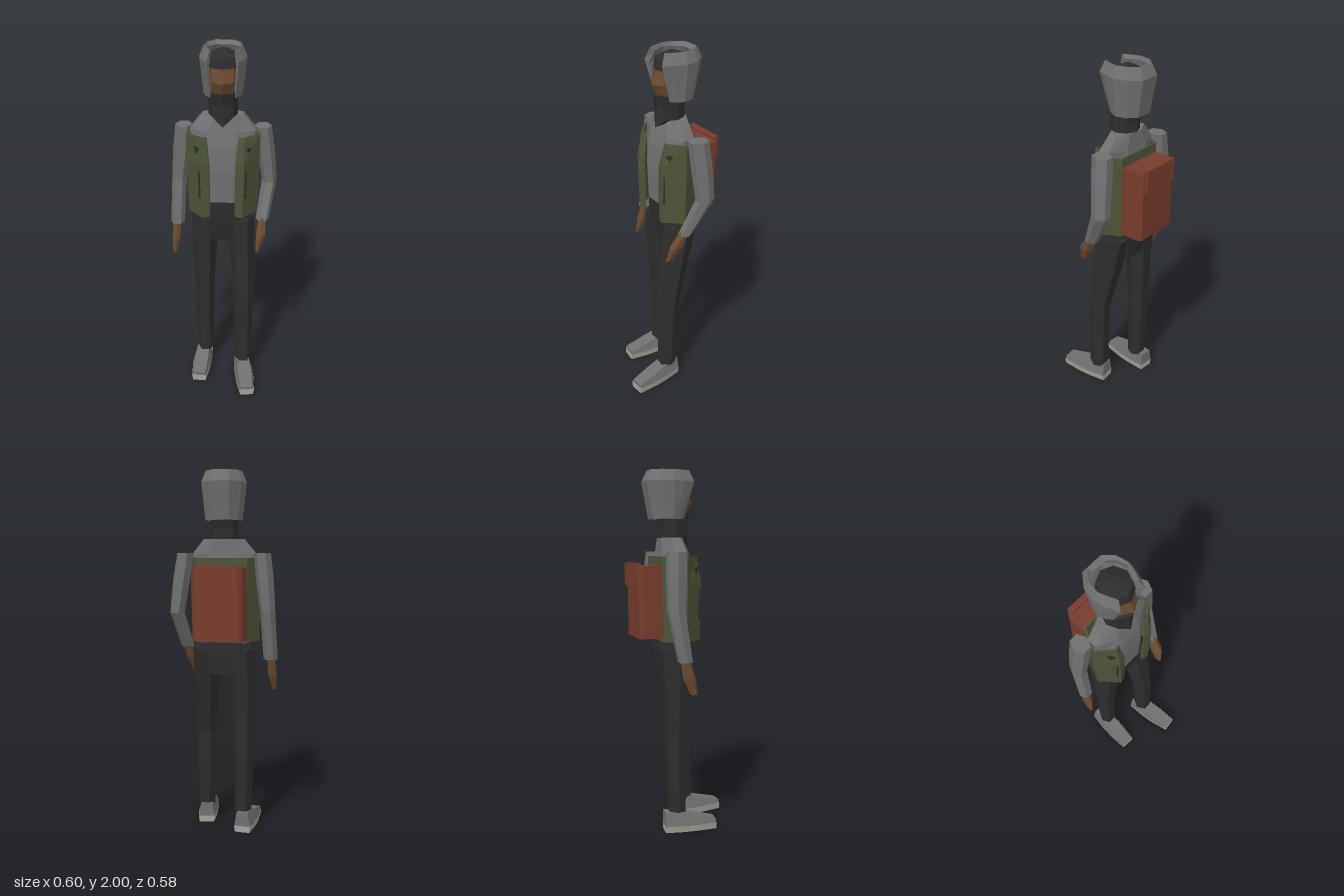
import * as THREE from 'three';

const mat = (name, color) => Object.assign(new THREE.MeshStandardMaterial({ color }), { name });
const grey = mat('grey cloth', 0x707070);
const dark = mat('dark cloth', 0x2d2d2d);
const green = mat('olive vest', 0x4c5438);
const skin = mat('skin', 0x6a4a30);
const red = mat('rust pack', 0x783c2d);
const sole = mat('pale sole', 0xa8a296);

// Flat-faced solid through matching cross-sections, capped at both ends, always facing outward
function loft(sections) {
  const tris = [];
  const n = sections[0].length;
  for (let s = 0; s + 1 < sections.length; s++) {
    const a = sections[s], b = sections[s + 1];
    for (let i = 0; i < n; i++) {
      const j = (i + 1) % n;
      tris.push([a[i], a[j], b[j]], [a[i], b[j], b[i]]);
    }
  }
  const first = sections[0], last = sections[sections.length - 1];
  for (let i = 1; i + 1 < n; i++) {
    tris.push([first[0], first[i + 1], first[i]], [last[0], last[i], last[i + 1]]);
  }
  let volume = 0;
  for (const [a, b, c] of tris) {
    volume += a[0] * (b[1] * c[2] - b[2] * c[1]) + a[1] * (b[2] * c[0] - b[0] * c[2])
      + a[2] * (b[0] * c[1] - b[1] * c[0]);
  }
  const flat = tris.flatMap(([a, b, c]) => (volume < 0 ? [a, c, b] : [a, b, c])).flat();
  const geo = new THREE.BufferGeometry();
  geo.setAttribute('position', new THREE.Float32BufferAttribute(flat, 3));
  geo.computeVertexNormals();
  return geo;
}

// Horizontal ring; flatFront puts a face rather than a corner at the front
function ring([x, y, z, rx, rz], n = 6, flatFront = false) {
  const k = flatFront ? 1 / Math.cos(Math.PI / n) : 1;
  return Array.from({ length: n }, (_, i) => {
    const a = ((i + (flatFront ? 0.5 : 0)) * 2 * Math.PI) / n;
    return [x + rx * k * Math.sin(a), y, z + rz * k * Math.cos(a)];
  });
}

const rings = (list, n, flatFront) => loft(list.map((r) => ring(r, n, flatFront)));

// Full left-to-right plan path from its left half
const mirrorPath = (half) => [...half, ...half.map(([x, z]) => [-x, z]).reverse()];

export function createModel() {
  const model = new THREE.Group();
  model.name = 'hooded traveller';
  const add = (name, geo, material, parent = model) => {
    const mesh = new THREE.Mesh(geo, material);
    mesh.name = name;
    parent.add(mesh);
    return mesh;
  };

  // Torso
  add('shirt', rings([
    [0, 1.16, -0.04, 0.14, 0.09], [0, 1.35, -0.04, 0.155, 0.095], [0, 1.48, -0.045, 0.165, 0.09],
    [0, 1.56, -0.05, 0.175, 0.075], [0, 1.64, -0.06, 0.11, 0.06],
  ], 8, true), grey);
  add('waist', rings([
    [0, 1.01, -0.055, 0.165, 0.085], [0, 1.08, -0.05, 0.155, 0.09], [0, 1.16, -0.04, 0.14, 0.09],
  ], 8, true), dark);
  add('crotch', rings([
    [0, 0.9, -0.06, 0.065, 0.065], [0, 1.03, -0.055, 0.085, 0.088],
  ], 4, true), dark);

  // Open vest, swept round the body from one front edge to the other
  const vestPath = mirrorPath([[0.075, 0.075], [0.115, 0.085], [0.2, -0.02], [0.14, -0.145]]);
  add('vest', loft(vestPath.map(([x, z]) => {
    const front = z > 0 ? 1 : 0;
    const at = (y, inset, back) => {
      const k = 1 - inset;
      const edge = Math.abs(x) < 0.1 && y > 1.5 ? 1.22 : 1;
      return [x * k * edge, y, -0.04 + (z + 0.04) * k - back * front];
    };
    return [at(1.4, 0, 0), at(1.54, 0, 0.028), at(1.54, 0.07, 0.028),
      at(1.4, 0.07, 0), at(1.08, 0.12, 0), at(1.08, 0.05, 0)];
  })), green);
  for (const side of [1, -1]) {
    const tab = add('vest tab', new THREE.CylinderGeometry(0.024, 0.024, 0.008, 3).rotateX(Math.PI / 2), dark);
    tab.position.set(side * 0.14, 1.47, 0.046);
    tab.rotation.y = side * 0.92;
    const slit = add('vest slit', new THREE.BoxGeometry(0.01, 0.16, 0.008), dark);
    slit.position.set(side * 0.124, 1.28, 0.07);
    slit.rotation.y = side * 0.92;
  }

  // Head, neck cover and cap
  add('face', rings([
    [0, 1.74, -0.05, 0.065, 0.07], [0, 1.79, -0.05, 0.074, 0.095], [0, 1.83, -0.05, 0.08, 0.116],
    [0, 1.87, -0.05, 0.082, 0.098], [0, 1.92, -0.055, 0.08, 0.09],
  ], 8), skin);
  const neck = [
    [0, 1.64, -0.045, 0.078, 0.08], [0, 1.7, -0.045, 0.078, 0.08], [0, 1.77, -0.045, 0.08, 0.1],
  ].map((r) => ring(r, 8));
  neck[0][0] = [0, 1.595, 0.046];
  add('neck cover', loft(neck), dark);
  add('cap', rings([
    [0, 1.9, -0.055, 0.088, 0.097], [0, 1.955, -0.058, 0.083, 0.088], [0, 1.985, -0.06, 0.02, 0.02],
  ], 8), dark);

  // Hood, open at the face and the crown
  const hoodPath = mirrorPath([[0.08, 0.055], [0.105, 0.0], [0.125, -0.07], [0.108, -0.145], [0.055, -0.205]]);
  add('hood', loft(hoodPath.map(([x, z]) => {
    const at = (y, kx, kz) => [x * kx, y, -0.07 + (z + 0.07) * kz];
    const low = z > -0.07 ? 0.55 : 0.74;
    return [at(1.94, 1, 1), at(2.0, 0.8, 0.8), at(1.98, 0.73, 0.62),
      at(1.92, 0.85, 0.85), at(1.74, 0.72, low - 0.06), at(1.74, 0.83, low)];
  })), grey);

  // Backpack with bevelled rear edges
  const pack = new THREE.Group();
  pack.name = 'backpack';
  model.add(pack);
  const packPlan = mirrorPath([[0.137, -0.14], [0.137, -0.252], [0.12, -0.272]]);
  add('pack body', loft([[1.1, 0.985], [1.49, 1]].map(([y, k]) =>
    packPlan.map(([x, z]) => [x, y, z * k]))), red, pack);
  add('pack flap', new THREE.BoxGeometry(0.222, 0.125, 0.035), red, pack).position.set(0, 1.442, -0.272);

  // Arms and hands, posed differently on each side
  const arms = {
    left: {
      sleeve: [[0.215, 1.565, -0.08, 0.04, 0.052], [0.235, 1.42, -0.09, 0.042, 0.052],
        [0.258, 1.24, -0.1, 0.036, 0.048], [0.222, 1.04, 0.0, 0.032, 0.034]],
      hand: [[0.222, 1.06, 0.0, 0.024, 0.027], [0.213, 0.97, 0.05, 0.028, 0.045],
        [0.197, 0.885, 0.085, 0.012, 0.025]],
    },
    right: {
      sleeve: [[-0.215, 1.565, -0.09, 0.04, 0.05], [-0.23, 1.42, -0.095, 0.042, 0.05],
        [-0.247, 1.25, -0.1, 0.036, 0.045], [-0.26, 0.985, -0.055, 0.034, 0.036]],
      hand: [[-0.262, 1.0, -0.055, 0.024, 0.027], [-0.268, 0.9, -0.035, 0.026, 0.036],
        [-0.278, 0.81, -0.01, 0.011, 0.02]],
    },
  };
  for (const [side, { sleeve, hand }] of Object.entries(arms)) {
    add(`${side} sleeve`, rings(sleeve, 6, true), grey);
    add(`${side} hand`, rings(hand, 6), skin);
  }

  // Legs
  const legs = {
    left: [[0.125, 0.1, 0.05, 0.042, 0.05], [0.122, 0.55, 0.035, 0.05, 0.055],
      [0.108, 0.85, -0.02, 0.062, 0.075], [0.1, 1.04, -0.055, 0.068, 0.085]],
    right: [[-0.108, 0.1, -0.055, 0.042, 0.045], [-0.11, 0.55, -0.06, 0.05, 0.055],
      [-0.107, 0.85, -0.055, 0.062, 0.073], [-0.1, 1.04, -0.06, 0.068, 0.085]],
  };
  for (const [side, list] of Object.entries(legs)) add(`${side} leg`, rings(list, 6, true), dark);

  // Shoes: cross-sections from heel to toe as [z, bottom, top, half width low, half width high]
  const along = (list) => loft(list.map(([z, y0, y1, w0, w1]) =>
    [[-w0, y0, z], [w0, y0, z], [w1, y1, z], [-w1, y1, z]]));
  const upper = along([[0, 0.035, 0.115, 0.046, 0.032], [0.1, 0.035, 0.108, 0.055, 0.036],
    [0.18, 0.035, 0.085, 0.054, 0.04], [0.292, 0.035, 0.057, 0.043, 0.036]]);
  const under = along([[0, 0, 0.036, 0.042, 0.047], [0.1, 0, 0.036, 0.05, 0.056],
    [0.18, 0, 0.036, 0.05, 0.055], [0.295, 0, 0.036, 0.038, 0.044]]);
  for (const [side, x, z, turn] of [['left', 0.116, -0.008, 0.12], ['right', -0.115, -0.13, -0.08]]) {
    const shoe = new THREE.Group();
    shoe.name = `${side} shoe`;
    shoe.position.set(x, 0, z);
    shoe.rotation.y = turn;
    model.add(shoe);
    add('shoe upper', upper, grey, shoe);
    add('shoe sole', under, sole, shoe);
  }
  return model;
}
